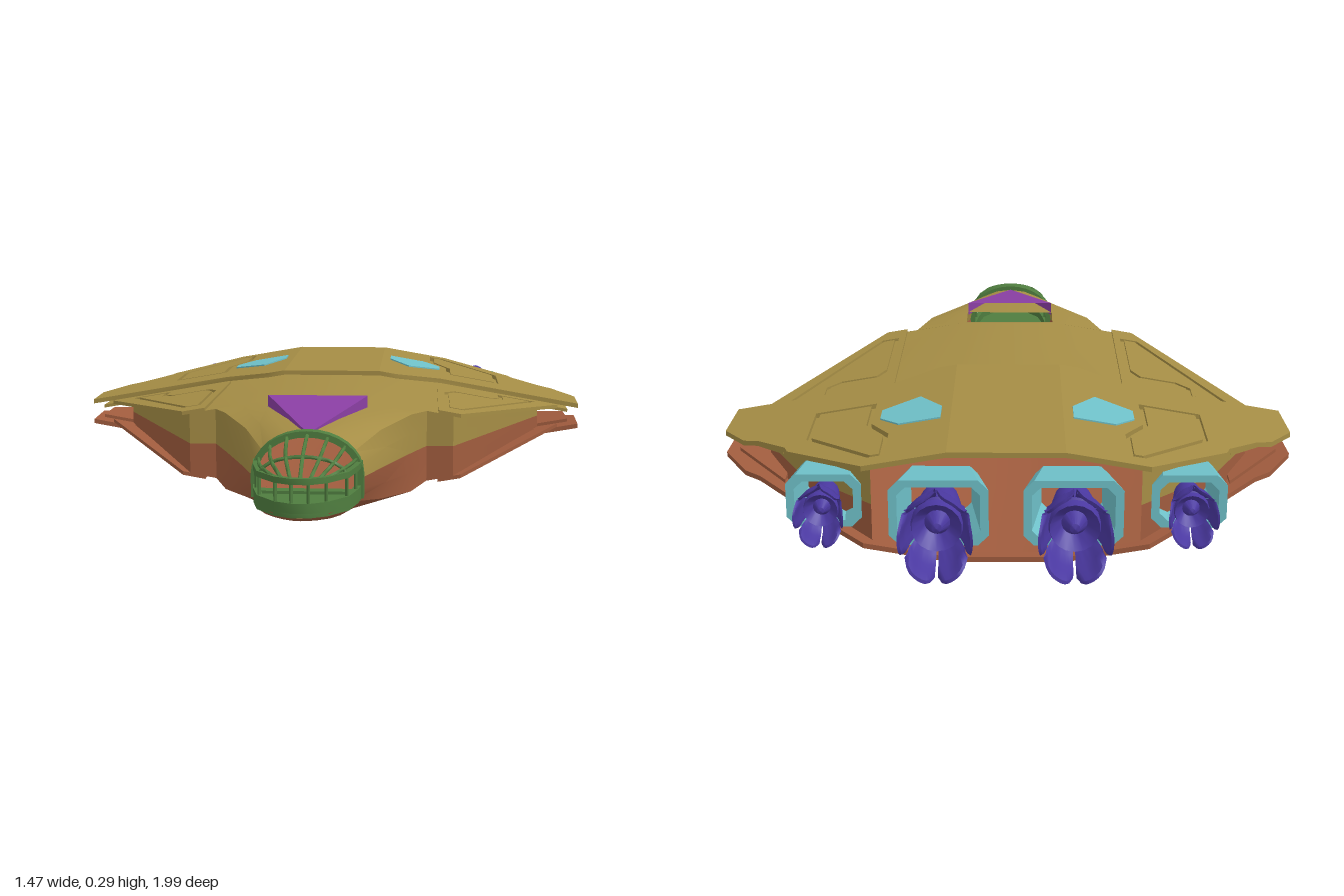
import * as THREE from 'three';
import { toCreasedNormals } from 'three/addons/utils/BufferGeometryUtils.js';

const MID = 0.14; // height of the seam between the two hull halves
const paint = (color) => new THREE.MeshStandardMaterial({ color, side: THREE.DoubleSide });
const OLIVE = paint(0xa58d45), BROWN = paint(0xa05c3e), GREEN = paint(0x4f7d3f);
const PURPLE = paint(0x8a3fa3), CYAN = paint(0x6fc1c9), INDIGO = paint(0x4a38a0);

function add(group, name, geo, mat, crease = 0.6) {
  const mesh = new THREE.Mesh(toCreasedNormals(geo, crease), mat);
  mesh.name = name;
  group.add(mesh);
  return mesh;
}

// Mirrored, non-indexed copy with the winding kept outward
function mirror(geo, sx, sy) {
  const g = geo.index ? geo.toNonIndexed() : geo.clone();
  g.deleteAttribute('uv');
  g.scale(sx, sy, 1);
  if (sx * sy < 0) {
    const a = g.attributes.position.array;
    for (let i = 0; i < a.length; i += 9)
      for (let k = 0; k < 3; k++) [a[i + 3 + k], a[i + 6 + k]] = [a[i + 6 + k], a[i + 3 + k]];
  }
  g.computeVertexNormals();
  return g;
}

// Armour surface: flat in the middle, sloping down to the wing tips
const slope = (x) => -0.175 * Math.max(0, Math.abs(x) - 0.14);

// Flat plate from an outline of [x, z], bent onto the armour surface
function plate(outline, base, thick, holes = [], bend = slope) {
  const vec = (p) => p.map(([x, z]) => new THREE.Vector2(x, -z));
  const shape = new THREE.Shape(vec(outline));
  holes.forEach((h) => shape.holes.push(new THREE.Path(vec(h))));
  const g = new THREE.ExtrudeGeometry(shape, { depth: thick, bevelEnabled: false });
  g.rotateX(-Math.PI / 2);
  const p = g.attributes.position;
  for (let i = 0; i < p.count; i++) p.setY(i, p.getY(i) + base + bend(p.getX(i)));
  return g;
}

// Outline moved inward by d
function inset(poly, d) {
  const n = poly.length;
  const area = poly.reduce((s, [x, z], i) => {
    const [u, w] = poly[(i + 1) % n];
    return s + x * w - u * z;
  }, 0);
  const normal = ([x, z], [u, w]) => {
    const l = Math.hypot(u - x, w - z) * Math.sign(area);
    return [-(w - z) / l, (u - x) / l];
  };
  return poly.map((p, i) => {
    const a = normal(poly[(i + n - 1) % n], p), b = normal(p, poly[(i + 1) % n]);
    const k = d / (1 + a[0] * b[0] + a[1] * b[1]);
    return [p[0] + (a[0] + b[0]) * k, p[1] + (a[1] + b[1]) * k];
  });
}

// Hull skin through stations [z, half width, height, roundness, foot height]
function loft(stations, skip = -1) {
  const rows = stations.map(([z, w, h, k, foot]) => {
    const a = Math.min(0.13, w * 0.8), edge = h + slope(w);
    const xs = [0, a, (a + w) / 2, w, w, w];
    const ys = [h, h, (h + edge) / 2, edge, edge / 2, foot];
    const half = xs.map((x, j) => {
      const t = (j / 5) * Math.PI / 2;
      return [x + (w * Math.sin(t) - x) * k, ys[j] + (foot + (h - foot) * Math.cos(t) - ys[j]) * k, z];
    });
    return [...half.slice(1).reverse(), ...half.map(([x, y, q]) => [-x, y, q])];
  });
  const pos = [];
  for (let i = 0; i < rows.length - 1; i++)
    for (let j = 0; j < 10; j++) {
      if (i === skip && (j === 4 || j === 5)) continue;
      const a = rows[i][j], b = rows[i][j + 1], c = rows[i + 1][j], d = rows[i + 1][j + 1];
      pos.push(...a, ...c, ...b, ...b, ...c, ...d);
    }
  const g = new THREE.BufferGeometry();
  g.setAttribute('position', new THREE.Float32BufferAttribute(pos, 3));
  g.computeVertexNormals();
  return g;
}

const BODY = [
  [0.75, 0.13, 0.1, 1, 0], [0.58, 0.185, 0.114, 0.5, 0], [0.42, 0.24, 0.118, 0, 0],
  [0.31, 0.28, 0.118, 0, 0], [0.31, 0.35, 0.118, 0, 0], [-0.24, 0.61, 0.12, 0, 0],
  [-0.4, 0.62, 0.124, 0, 0], [-0.61, 0.51, 0.124, 0, 0], [-0.79, 0.32, 0.124, 0, 0],
];
const CHIN = [[0.99, 0.02, 0.048, 1, 0.04], [0.96, 0.065, 0.06, 1, 0.04],
  [0.89, 0.105, 0.075, 1, 0.04], [0.75, 0.13, 0.1, 1, 0.04]];
const REAR = [[0.14, -0.16], [0.19, -0.16], [0.32, -0.24], [0.73, -0.24], [0.735, -0.4], [0.67, -0.5],
  [0.63, -0.52], [0.55, -0.6], [0.54, -0.63], [0.34, -0.81], [0.14, -0.81]];
const REAR_PANEL = [[0.33, -0.76], [0.29, -0.76], [0.29, -0.62], [0.34, -0.53], [0.34, -0.38],
  [0.5, -0.38], [0.5, -0.57]];
const WING = [[0.31, 0.31], [0.37, 0.31], [0.67, -0.24], [0.31, -0.24]];
const WING_PANEL = [[0.33, 0.23], [0.38, 0.23], [0.6, -0.21], [0.49, -0.21], [0.49, -0.14],
  [0.46, -0.115], [0.36, -0.115], [0.33, -0.06]];
const TIP = [[0.56, -0.25], [0.7, -0.25], [0.7, -0.4], [0.56, -0.56]];
const HEX = [[0.32, -0.51], [0.27, -0.57], [0.165, -0.57], [0.165, -0.49], [0.225, -0.39], [0.32, -0.45]];

// One hull half with its armour plates; s = 1 upper, -1 lower
function hullHalf(s, mat) {
  const g = new THREE.Group();
  g.name = s > 0 ? 'upperHull' : 'lowerHull';
  g.position.y = MID;
  add(g, 'hullSkin', mirror(loft(BODY, s > 0 ? 2 : -1), 1, s), mat, 0.5);
  add(g, 'rearCentrePlate',
    mirror(plate([[-0.14, -0.16], [0.14, -0.16], [0.14, -0.81], [-0.14, -0.81]], 0.127, 0.013), 1, s), mat);
  for (const side of [1, -1]) {
    const put = (name, geo, m = mat) => add(g, name, mirror(geo, side, s), m);
    put('rearSidePlate', plate(REAR, 0.127, 0.013, [REAR_PANEL]));
    put('rearPanel', plate(inset(REAR_PANEL, 0.013), 0.127, 0.013));
    put('wingPlate', plate(WING, 0.116, 0.01, [WING_PANEL]));
    put('wingPanel', plate(inset(WING_PANEL, 0.012), 0.116, 0.01));
    put('tipUnderPlate', plate(TIP, 0.108, 0.009));
    put('hexPort', plate(HEX, 0.13, 0.014), CYAN);
  }
  return g;
}

// Glassless canopy: collar, floor, belt and ribs
function cockpit() {
  const g = new THREE.Group();
  g.name = 'cockpit';
  const arch = (r, foot) => {
    const pts = [new THREE.Vector2(r, foot)];
    for (let i = 0; i <= 16; i++)
      pts.push(new THREE.Vector2(r * Math.cos(i * Math.PI / 16), 0.15 + (r - 0.03) * Math.sin(i * Math.PI / 16)));
    return [...pts, new THREE.Vector2(-r, foot)];
  };
  const collar = new THREE.Shape(arch(0.133, 0.095));
  collar.holes.push(new THREE.Path(arch(0.118, 0.11)));
  const ring = new THREE.ExtrudeGeometry(collar, { depth: 0.035, bevelEnabled: false });
  add(g, 'collar', ring.translate(0, 0, 0.74), GREEN);
  const plan = [[0.13, 0.75], [0.122, 0.82], [0.105, 0.9], [0.06, 0.965], [0.02, 0.99]];
  const mirrored = (p) => [...p, ...p.map(([x, z]) => [-x, z]).reverse()];
  const inner = plan.map(([x, z]) => [x * 0.88, 0.75 + (z - 0.75) * 0.94]);
  const flat = () => 0;
  add(g, 'floor', plate(mirrored(plan), 0.093, 0.01, [], flat), GREEN);
  const band = [...mirrored(plan), ...mirrored(inner).reverse()];
  add(g, 'sill', plate(band, 0.1, 0.026, [], flat), GREEN);
  add(g, 'belt', plate(band, 0.168, 0.014, [], flat), GREEN);
  const bar = (name, pts) => add(g, name, new THREE.TubeGeometry(
    new THREE.CatmullRomCurve3(pts.map((p) => new THREE.Vector3(...p))), 12, 0.0045, 6), GREEN, 1.2);
  const hoop = [];
  for (let i = 0; i <= 8; i++) {
    const c = Math.cos(i * Math.PI / 8), s = Math.sin(i * Math.PI / 8);
    const mid = [0.1 * c, 0.172 + 0.043 * s, 0.9];
    hoop.push(mid);
    if (i > 0 && i < 8)
      bar('canopyRib', [[0.126 * c, 0.15 + 0.095 * s, 0.765], mid, [0.055 * c, 0.175, 0.95 + 0.03 * s]]);
  }
  bar('canopyHoop', hoop);
  for (const side of [1, -1])
    for (const [x, z] of plan.slice(1))
      bar('windowPost', [[side * x * 0.95, 0.12, z - 0.006], [side * x * 0.95, 0.172, z - 0.006]]);
  return g;
}

// Raised intake, open towards the back, with a ramp behind it
function scoop() {
  const g = new THREE.Group();
  g.name = 'scoop';
  const tip = [0, 0.242, 0.74], l = [0.128, 0.288, 0.42], r = [-0.128, 0.288, 0.42];
  const lb = [0.128, 0.25, 0.42], rb = [-0.128, 0.25, 0.42];
  const geo = new THREE.BufferGeometry();
  geo.setAttribute('position', new THREE.Float32BufferAttribute(
    [tip, l, r, tip, lb, l, tip, r, rb].flat(), 3));
  geo.computeVertexNormals();
  add(g, 'scoopCover', geo, PURPLE, 0.2);
  const ramp = new THREE.BoxGeometry(0.26, 0.006, 0.13);
  add(g, 'scoopRamp', ramp.rotateX(0.35).translate(0, 0.235, 0.37), OLIVE);
  return g;
}

// Squared housing with a petalled nozzle; back = z of the housing's rear face
function engine(x, back, w, h, length, size) {
  const g = new THREE.Group();
  g.name = 'engine';
  g.position.set(x, MID, back);
  const box = (Type, a, b, c) => {
    const p = new Type();
    [[a - c, -b], [a, c - b], [a, b - c], [a - c, b], [c - a, b], [-a, b - c], [-a, c - b], [c - a, -b]]
      .forEach(([u, v], i) => (i ? p.lineTo(u, v) : p.moveTo(u, v)));
    p.closePath();
    return p;
  };
  const shape = box(THREE.Shape, w / 2, h / 2, 0.025);
  shape.holes.push(box(THREE.Path, w / 2 - 0.02, h / 2 - 0.018, 0.02));
  const housing = new THREE.ExtrudeGeometry(shape, { depth: length, bevelEnabled: false });
  const p = housing.attributes.position;
  for (let i = 0; i < p.count; i++) {
    const k = 1 - 0.25 * p.getZ(i) / length; // taper towards the hull
    p.setXY(i, p.getX(i) * k, p.getY(i) * k);
  }
  add(g, 'housing', housing, CYAN);

  const nozzle = new THREE.Group();
  nozzle.name = 'nozzle';
  nozzle.scale.setScalar(size);
  g.add(nozzle);
  const profile = (pts) => pts.map((q) => new THREE.Vector2(...q));
  const core = new THREE.LatheGeometry(profile([[0, -0.08], [0.045, -0.08], [0.055, -0.02], [0.055, 0.005],
    [0.042, 0.01], [0.042, 0.018], [0.056, 0.022], [0.056, 0.034], [0.045, 0.04], [0.062, 0.062],
    [0.058, 0.085], [0.03, 0.05], [0.012, 0.085], [0, 0.09]]), 18);
  add(nozzle, 'core', core.rotateX(-Math.PI / 2), INDIGO);
  const SPAN = 0.96;
  for (let i = 0; i < 6; i++) {
    const mid = i * Math.PI / 3 + Math.PI / 2;
    const petal = new THREE.LatheGeometry(profile([[0.05, 0.036], [0.073, 0.065], [0.085, 0.1], [0.087, 0.13],
      [0.095, 0.16], [0.088, 0.158], [0.08, 0.13], [0.078, 0.1], [0.066, 0.068], [0.05, 0.036]]),
    8, mid - SPAN / 2, SPAN);
    const q = petal.attributes.position;
    for (let j = 0; j < q.count; j++) {
      const t = (Math.floor(j / 10) / 8) * 2 - 1; // rounded petal ends
      q.setY(j, q.getY(j) - Math.max(0, q.getY(j) - 0.05) * 0.4 * t ** 4);
    }
    petal.rotateX(-Math.PI / 2).scale(0.9, 1.15, 1);
    add(nozzle, 'petal', petal, INDIGO, 0.9);
  }
  return g;
}

export function createModel() {
  const model = new THREE.Group();
  model.name = 'spaceship';
  model.add(hullHalf(1, OLIVE), hullHalf(-1, BROWN));
  add(model, 'chin', mirror(loft(CHIN), 1, -1).translate(0, MID, 0), BROWN, 0.8);
  model.add(cockpit(), scoop());
  for (const side of [1, -1]) {
    model.add(engine(side * 0.158, -0.84, 0.235, 0.165, 0.14, 1));
    model.add(engine(side * 0.435, -0.77, 0.18, 0.135, 0.17, 0.69));
  }
  return model;
}
